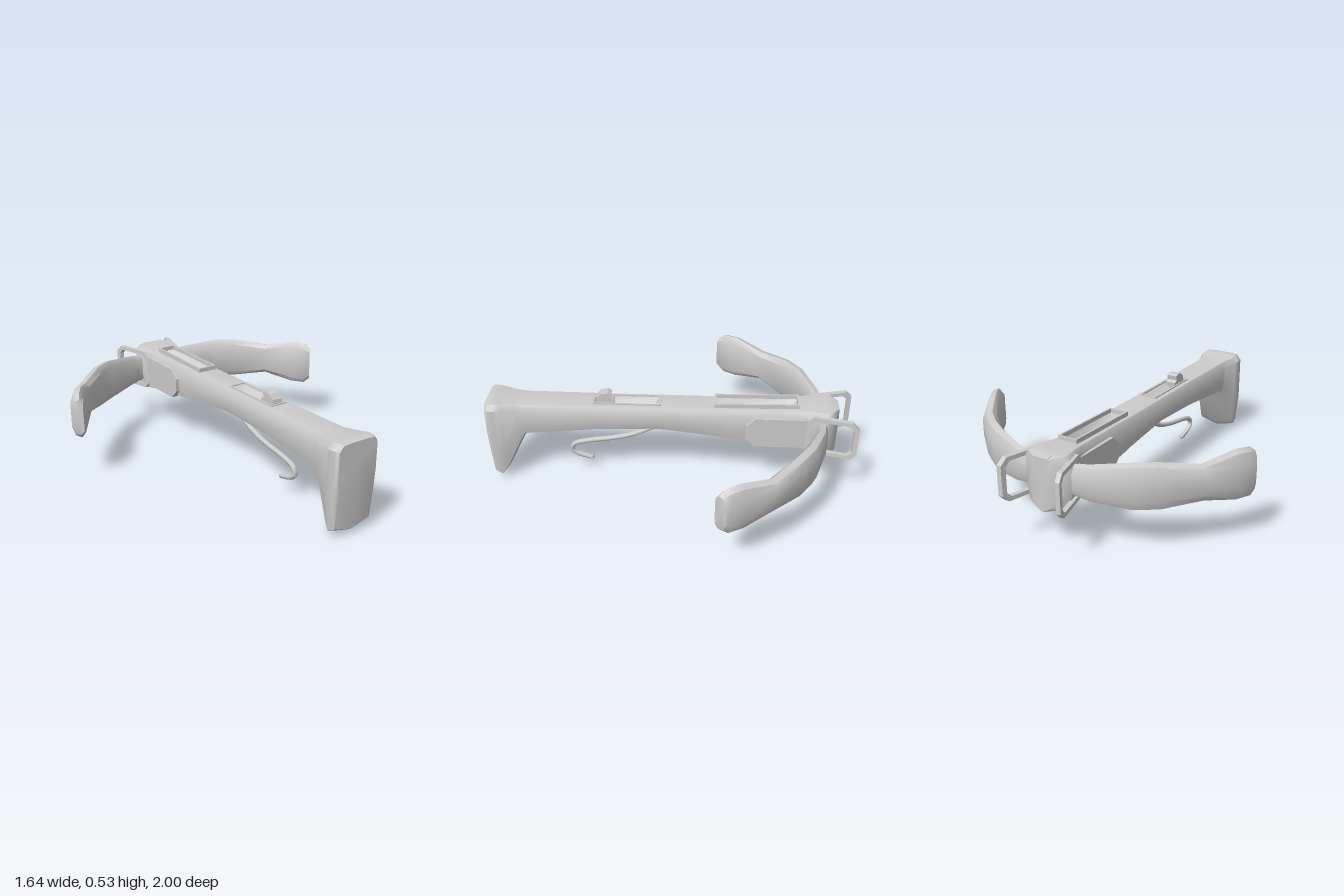
import * as THREE from 'three';
import { toCreasedNormals } from 'three/addons/utils/BufferGeometryUtils.js';

const grey = new THREE.MeshStandardMaterial({ color: 0xcccccc, side: THREE.DoubleSide });

function add(parent, name, geometry, crease = 0.7) {
  const flat = geometry.index ? geometry.toNonIndexed() : geometry;
  const mesh = new THREE.Mesh(toCreasedNormals(flat, crease), grey);
  mesh.name = name;
  parent.add(mesh);
  return mesh;
}

// Skin a list of rings (arrays of [x, y, z]) and close both ends
function loft(rings) {
  const n = rings[0].length, pos = rings.flat(2), idx = [];
  for (let r = 0; r < rings.length - 1; r++) {
    for (let i = 0; i < n; i++) {
      const a = r * n + i, b = r * n + (i + 1) % n;
      idx.push(a, b, b + n, a, b + n, a + n);
    }
  }
  [0, rings.length - 1].forEach((r) => {
    const centre = pos.length / 3;
    for (let k = 0; k < 3; k++) pos.push(rings[r].reduce((s, p) => s + p[k], 0) / n);
    for (let i = 0; i < n; i++) {
      const a = r * n + i, b = r * n + (i + 1) % n;
      if (r === 0) idx.push(centre, b, a);
      else idx.push(centre, a, b);
    }
  });
  // Turn the faces outward if the enclosed volume comes out negative
  const v = (i) => new THREE.Vector3(pos[i * 3], pos[i * 3 + 1], pos[i * 3 + 2]);
  let volume = 0;
  for (let i = 0; i < idx.length; i += 3) volume += v(idx[i]).dot(v(idx[i + 1]).cross(v(idx[i + 2])));
  if (volume < 0) idx.reverse();
  const g = new THREE.BufferGeometry();
  g.setAttribute('position', new THREE.Float32BufferAttribute(pos, 3));
  g.setIndex(idx);
  return g;
}

// Stock cross-section: faceted top with an optional trough, slightly keeled underside
function stockRing([z, top, bottom, w, trough = 0]) {
  const h = top - bottom;
  const half = [
    [w * 0.88, bottom + 0.03],
    [w, bottom + 0.4 * h],
    [w, top - 0.035],
    [w * 0.8, top - 0.004],
    [0.045, top],
  ];
  return [
    [0, bottom, z],
    ...half.map(([x, y]) => [x, y, z]),
    [0, top - trough, z],
    ...half.reverse().map(([x, y]) => [-x, y, z]),
  ];
}

// Flat rectangular frame lying on the stock, with an opening
function frame(w, length, rim, height) {
  const s = new THREE.Shape();
  const rect = (p, a, b) => p.moveTo(-a, -b).lineTo(a, -b).lineTo(a, b).lineTo(-a, b).closePath();
  rect(s, w, length / 2);
  s.holes.push(rect(new THREE.Path(), w - rim, length / 2 - rim));
  return new THREE.ExtrudeGeometry(s, { depth: height, bevelEnabled: false }).rotateX(-Math.PI / 2);
}

// Rectangle with cut corners, traced in (z, y)
function cutRect(path, z0, z1, y0, y1, c) {
  return path.moveTo(z0 + c, y0).lineTo(z1 - c, y0).lineTo(z1, y0 + c).lineTo(z1, y1 - c)
    .lineTo(z1 - c, y1).lineTo(z0 + c, y1).lineTo(z0, y1 - c).lineTo(z0, y0 + c).closePath();
}

export function createModel() {
  const model = new THREE.Group();
  model.name = 'crossbow';

  // Stock from butt to nose: z, top, bottom, half width, trough depth
  add(model, 'stock', loft([
    [1.0, 0.49, 0.2, 0.118],
    [0.985, 0.497, 0.03, 0.127],
    [0.945, 0.495, 0.005, 0.13],
    [0.92, 0.49, 0.035, 0.123],
    [0.83, 0.482, 0.215, 0.096],
    [0.8, 0.48, 0.268, 0.094],
    [0.42, 0.48, 0.305, 0.09],
    [0.4, 0.48, 0.307, 0.09, 0.02],
    [0.09, 0.48, 0.32, 0.09, 0.035],
    [0.06, 0.48, 0.32, 0.09],
    [-0.24, 0.48, 0.285, 0.09],
    [-0.3, 0.482, 0.275, 0.09, 0.025],
    [-0.64, 0.487, 0.233, 0.094, 0.05],
    [-0.69, 0.49, 0.227, 0.098],
    [-0.74, 0.494, 0.22, 0.106],
    [-0.84, 0.5, 0.207, 0.132],
    [-0.87, 0.5, 0.202, 0.112],
    [-0.905, 0.49, 0.205, 0.055],
  ].map(stockRing)), 0.65);

  // Frames around the bolt groove and the latch slot
  const boltFrame = add(model, 'boltGrooveFrame', frame(0.055, 0.455, 0.01, 0.025), 0.3);
  boltFrame.position.set(0, 0.482, -0.467);
  boltFrame.rotation.x = 0.02;
  const latchFrame = add(model, 'latchFrame', frame(0.05, 0.37, 0.008, 0.008), 0.3);
  latchFrame.position.set(0, 0.478, 0.235);

  // Hooked latch that holds the string, drawn in (z, y)
  const hook = new THREE.Shape();
  hook.moveTo(0.31, 0.44).lineTo(0.305, 0.49).lineTo(0.325, 0.5).lineTo(0.32, 0.525).lineTo(0.34, 0.535)
    .lineTo(0.375, 0.53).lineTo(0.4, 0.505).lineTo(0.405, 0.48).lineTo(0.39, 0.44).closePath();
  add(model, 'latch', new THREE.ExtrudeGeometry(hook, { depth: 0.06, bevelEnabled: false })
    .rotateY(-Math.PI / 2).translate(0.03, 0, 0), 0.5);

  // Curved trigger lever
  const lever = new THREE.CatmullRomCurve3([
    [0.07, 0.325], [0.2, 0.262], [0.32, 0.23], [0.47, 0.205], [0.545, 0.18],
    [0.56, 0.145], [0.53, 0.117], [0.45, 0.093],
  ].map(([z, y]) => new THREE.Vector3(0, y, z)));
  add(model, 'trigger', new THREE.TubeGeometry(lever, 28, 0.014, 8), 1);
  const tip = add(model, 'triggerTip', new THREE.SphereGeometry(0.014, 8, 6), 1);
  tip.position.set(0, 0.093, 0.45);

  // Bow stations: inner x, z, outer x, z, bottom, top
  const stations = [
    [0.06, -0.78, 0.06, -0.85, 0.29, 0.45],
    [0.13, -0.79, 0.14, -0.843, 0.288, 0.45],
    [0.2, -0.775, 0.22, -0.832, 0.272, 0.46],
    [0.375, -0.7, 0.41, -0.765, 0.246, 0.484],
    [0.47, -0.635, 0.52, -0.69, 0.246, 0.484],
    [0.61, -0.505, 0.675, -0.547, 0.274, 0.457],
    [0.71, -0.355, 0.77, -0.4, 0.236, 0.497],
    [0.752, -0.285, 0.812, -0.325, 0.238, 0.494],
    [0.775, -0.25, 0.818, -0.305, 0.268, 0.466],
  ];
  // Limb section: share of thickness, share of height
  const section = [[0, 0.12], [0, 0.88], [0.3, 1], [0.75, 0.95], [1, 0.75], [1, 0.25], [0.75, 0.05], [0.3, 0]];

  // Long-cut stirrup and side plate outlines in (z, y)
  const plate = cutRect(new THREE.Shape(), -0.8, -0.41, 0.275, 0.45, 0.05);
  const loop = cutRect(new THREE.Shape(), -1.0, -0.73, 0.25, 0.478, 0.035);
  loop.holes.push(cutRect(new THREE.Path(), -0.975, -0.755, 0.272, 0.456, 0.025));

  for (const side of [1, -1]) {
    const label = side > 0 ? 'left' : 'right';

    add(model, label + 'BowLimb', loft(stations.map(([ix, iz, ox, oz, y0, y1]) =>
      section.map(([t, v]) => [side * (ix + (ox - ix) * t), y0 + (y1 - y0) * v, iz + (oz - iz) * t]))), 0.75);

    add(model, label + 'SidePlate', new THREE.ExtrudeGeometry(plate, { depth: 0.04, bevelEnabled: false })
      .rotateY(-Math.PI / 2).translate(side > 0 ? 0.11 : -0.07, 0, 0), 0.5);

    // Stirrup splays outward toward the nose
    const stirrup = new THREE.ExtrudeGeometry(loop, { depth: 0.026, bevelEnabled: false })
      .rotateY(-Math.PI / 2).translate(0.013, 0, 0);
    const p = stirrup.attributes.position;
    for (let i = 0; i < p.count; i++) {
      p.setX(i, p.getX(i) + side * (0.098 + (-0.73 - p.getZ(i)) * 0.26));
    }
    add(model, label + 'Stirrup', stirrup, 0.5);
  }
  return model;
}
